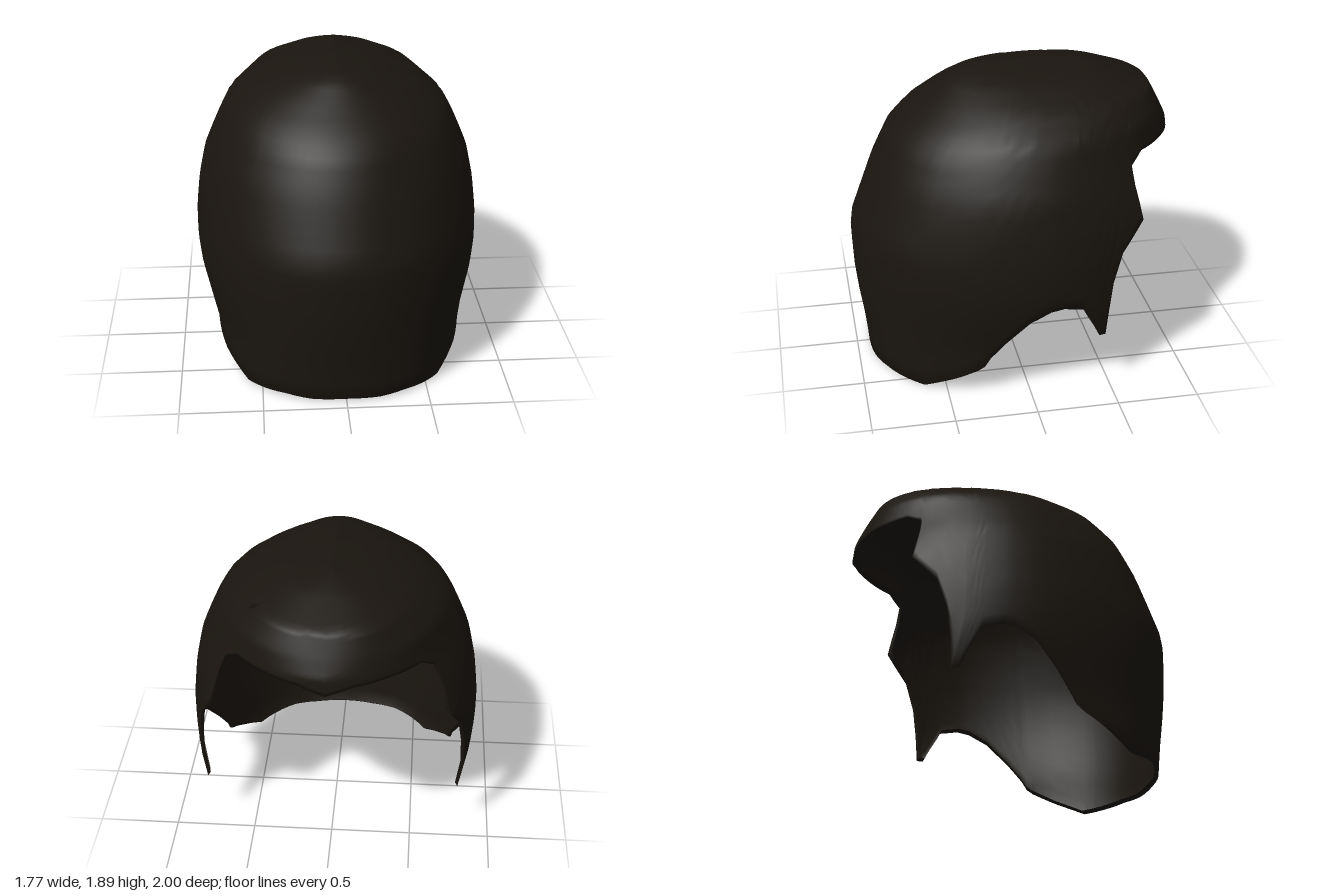
import * as THREE from 'three';

// Horizontal sections of the hair:
// height, half width, rear z, face-side z, centre z, squareness rear, squareness face
const SECTIONS = [
  [0.00, 0.77, 0.92, -1.08, -0.10, 2.3, 2.4],
  [0.12, 0.795, 0.93, -1.08, -0.10, 2.3, 2.4],
  [0.25, 0.79, 0.945, -1.08, -0.10, 2.3, 2.4],
  [0.37, 0.82, 0.965, -1.10, -0.10, 2.2, 2.4],
  [0.57, 0.87, 0.988, -1.15, -0.10, 2.08, 2.05],
  [0.72, 0.887, 0.995, -1.20, -0.10, 2.05, 1.85],
  [0.89, 0.887, 1.00, -1.25, -0.10, 2.0, 1.8],
  [1.09, 0.865, 0.925, -1.25, -0.10, 2.0, 1.8],
  [1.28, 0.825, 0.855, -1.08, -0.10, 2.0, 1.85],
  [1.40, 0.775, 0.80, -1.00, -0.10, 2.0, 1.9],
  [1.50, 0.73, 0.75, -0.99, -0.10, 2.0, 1.9],
  [1.60, 0.675, 0.65, -0.94, -0.11, 2.0, 2.1],
  [1.73, 0.51, 0.48, -0.87, -0.13, 2.0, 2.4],
  [1.83, 0.30, 0.345, -0.62, -0.16, 2.0, 2.4],
  [1.86, 0.17, 0.25, -0.53, -0.18, 2.0, 2.2],
  [1.89, 0.00, -0.02, -0.40, -0.20, 2.0, 2.0],
];
const TOP = 1.89;

// Hem from the nape, past the ear and temple lock, to the fringe: [z, y]
const HEM = [
  [0.92, 0.015], [0.90, 0.01], [0.84, 0.02], [0.70, 0.005], [0.63, 0.00],
  [0.47, 0.09], [0.32, 0.17], [0.28, 0.20], [0.16, 0.38], [0.02, 0.54],
  [-0.10, 0.61], [-0.18, 0.625], [-0.30, 0.60], [-0.37, 0.47], [-0.42, 0.37],
  [-0.46, 0.37], [-0.55, 0.92], [-0.69, 1.09], [-0.63, 1.40], [-0.71, 1.46],
  [-0.88, 1.46], [-0.97, 1.45], [-1.00, 1.40],
];

function sectionAt(y) {
  let i = 0;
  while (i < SECTIONS.length - 2 && y > SECTIONS[i + 1][0]) i++;
  const a = SECTIONS[i], b = SECTIONS[i + 1];
  const t = THREE.MathUtils.clamp((y - a[0]) / (b[0] - a[0]), 0, 1);
  return a.map((v, k) => v + (b[k] - v) * t);
}

// Point on the head surface at a heading measured from +z towards +x
function surfacePoint(angle, y, scale = 1) {
  const [, w, rear, face, zc, rearPower, facePower] = sectionAt(y);
  const c = Math.cos(angle), s = Math.sin(angle);
  const depth = c > 0 ? rear - zc : zc - face;
  const e = 2 / (c > 0 ? rearPower : facePower);
  return [
    w * Math.sign(s) * Math.abs(s) ** e * scale,
    y,
    zc + depth * Math.sign(c) * Math.abs(c) ** e * scale,
  ];
}

// Heading at which the surface at height y reaches depth z
function headingAt(z, y) {
  const [, , rear, face, zc, rearPower, facePower] = sectionAt(y);
  const behind = z > zc;
  const c = Math.min(1, (z - zc) / (behind ? rear - zc : face - zc));
  const a = Math.acos(c ** ((behind ? rearPower : facePower) / 2));
  return behind ? a : Math.PI - a;
}

// Hem as [heading, height], subdivided and mirrored into a closed ring
function hemRing() {
  const keys = HEM.map(([z, y]) => [headingAt(z, y), y]);
  keys[0][0] = 0;
  keys[keys.length - 1][0] = Math.PI;
  const half = [];
  for (let i = 0; i < keys.length - 1; i++) {
    const [a0, y0] = keys[i], [a1, y1] = keys[i + 1];
    const n = Math.max(3, Math.ceil(Math.abs(a1 - a0) / 0.08));
    for (let k = 0; k < n; k++) {
      half.push([a0 + ((a1 - a0) * k) / n, y0 + ((y1 - y0) * k) / n]);
    }
  }
  half.push(keys[keys.length - 1]);
  const mirrored = half.slice(1, -1).reverse().map(([a, y]) => [2 * Math.PI - a, y]);
  return half.concat(mirrored);
}

// Columns run from the crown ridge to the hem, then turn under as a thin lip
function hairGeometry() {
  const ring = hemRing(), rows = 28, n = ring.length;
  const positions = [], indices = [];
  for (let r = 0; r <= rows + 1; r++) {
    for (const [angle, hem] of ring) {
      if (r > rows) positions.push(...surfacePoint(angle, hem + 0.02, 0.975));
      else positions.push(...surfacePoint(angle, TOP - (TOP - hem) * Math.pow(r / rows, 1.5)));
    }
  }
  for (let r = 0; r <= rows; r++) {
    for (let c = 0; c < n; c++) {
      const a = r * n + c, d = r * n + ((c + 1) % n);
      indices.push(a, a + n, d, d, a + n, d + n);
    }
  }
  const geometry = new THREE.BufferGeometry();
  geometry.setAttribute('position', new THREE.Float32BufferAttribute(positions, 3));
  geometry.setIndex(indices);
  geometry.computeVertexNormals();
  return geometry;
}

export function createModel() {
  const group = new THREE.Group();
  group.name = 'hairpiece';
  const material = new THREE.MeshStandardMaterial({ color: 0x1a150f, side: THREE.DoubleSide });
  const hair = new THREE.Mesh(hairGeometry(), material);
  hair.name = 'hairShell';
  group.add(hair);
  return group;
}
